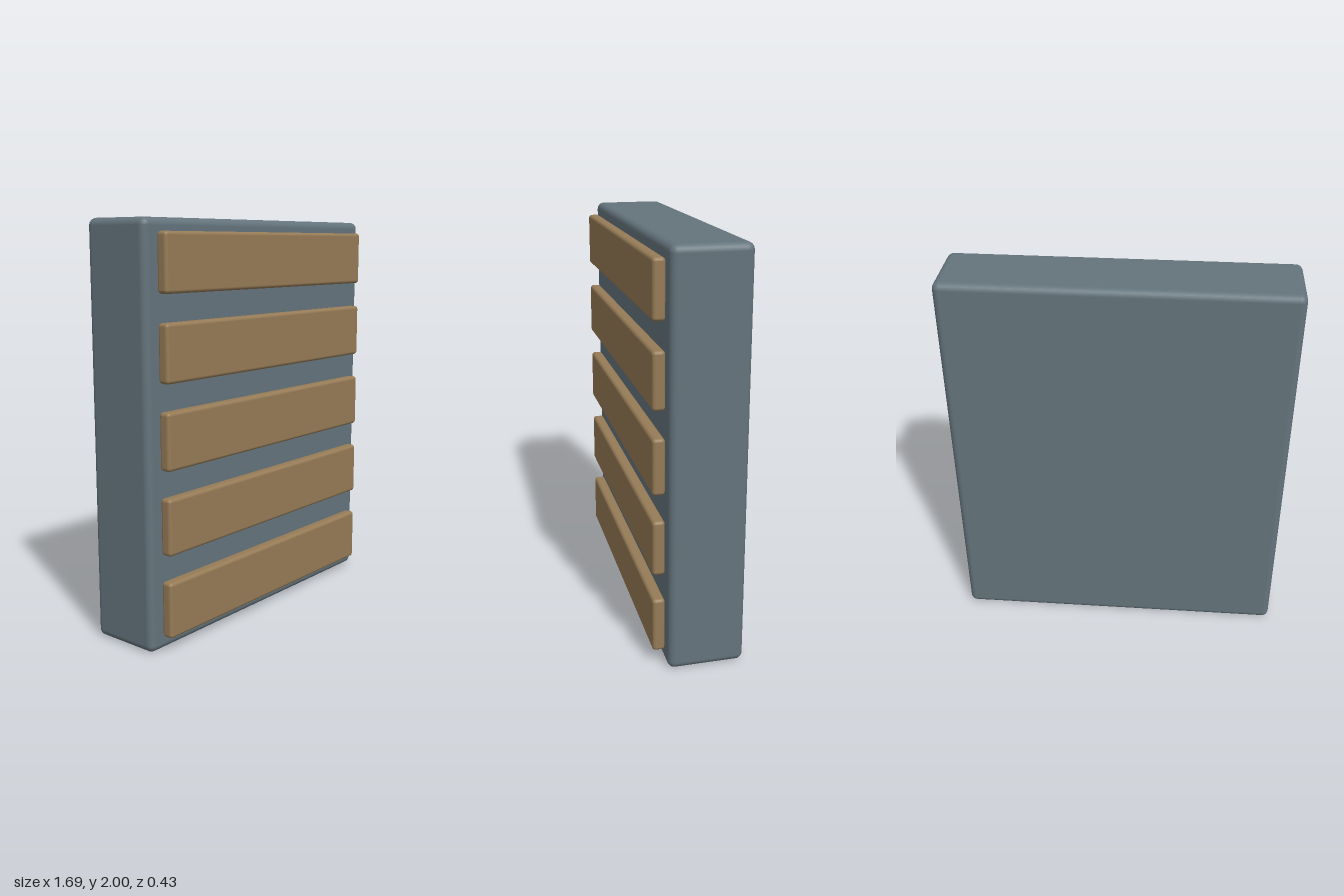
import * as THREE from 'three';
import { RoundedBoxGeometry } from 'three/addons/geometries/RoundedBoxGeometry.js';

const bodyMaterial = new THREE.MeshStandardMaterial({ color: 0x64747c });
const slatMaterial = new THREE.MeshStandardMaterial({ color: 0x967b56 });

function roundedBox(name, size, radius, material, position) {
  const mesh = new THREE.Mesh(new RoundedBoxGeometry(...size, 4, radius), material);
  mesh.name = name;
  mesh.position.set(...position);
  return mesh;
}

export function createModel() {
  const model = new THREE.Group();
  model.name = 'slattedPanel';

  // Upright slab
  model.add(roundedBox('body', [1.694, 2, 0.37], 0.035, bodyMaterial, [0, 1, -0.03]));

  // Five evenly spaced planks resting on the front face
  const slats = new THREE.Group();
  slats.name = 'slats';
  for (let i = 0; i < 5; i++) {
    slats.add(roundedBox(`slat${i + 1}`, [1.55, 0.272, 0.06], 0.017, slatMaterial, [0, 0.204 + i * 0.4, 0.185]));
  }
  model.add(slats);
  return model;
}
